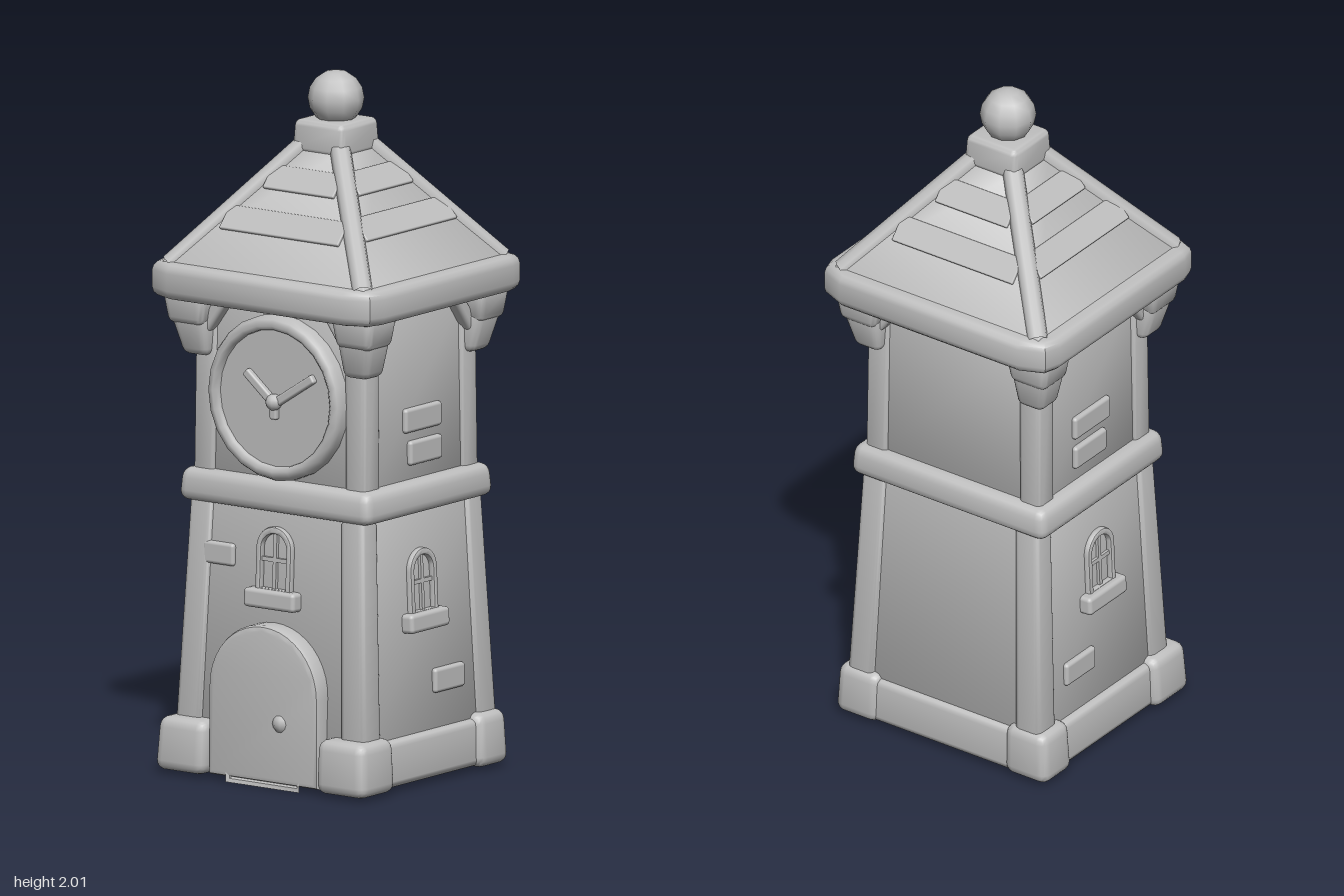
import * as THREE from 'three';
import { toCreasedNormals } from 'three/addons/utils/BufferGeometryUtils.js';
import { RoundedBoxGeometry } from 'three/addons/geometries/RoundedBoxGeometry.js';

const stone = new THREE.MeshStandardMaterial({ color: 0xbfbfbf });
stone.name = 'grey stone';

function add(parent, name, geometry, x = 0, y = 0, z = 0) {
  const mesh = new THREE.Mesh(geometry, stone);
  mesh.name = name;
  mesh.position.set(x, y, z);
  parent.add(mesh);
  return mesh;
}

// Rounded block lofted between two rectangles [centre x, centre z, width, depth]
function block(parent, name, y0, y1, lo, hi = lo, r = 0.015) {
  const h = y1 - y0;
  const g = new RoundedBoxGeometry(lo[2], h, lo[3], 2, r);
  const p = g.attributes.position;
  for (let i = 0; i < p.count; i++) {
    const t = p.getY(i) / h + 0.5;
    const at = (k) => THREE.MathUtils.lerp(lo[k], hi[k], t);
    p.setXYZ(i, at(0) + p.getX(i) * at(2) / lo[2], y0 + t * h, at(1) + p.getZ(i) * at(3) / lo[3]);
  }
  return add(parent, name, toCreasedNormals(g, 0.75));
}

// Round-topped outline standing on y0
function archPath(path, half, y0, top) {
  path.moveTo(-half, y0);
  path.lineTo(half, y0);
  path.lineTo(half, top - half);
  path.absarc(0, top - half, half, 0, Math.PI, false);
  path.lineTo(-half, y0);
  return path;
}

function extrude(shape, depth, bevel) {
  const g = new THREE.ExtrudeGeometry(shape, {
    depth: depth - bevel, bevelEnabled: bevel > 0, bevelThickness: bevel,
    bevelSize: bevel, bevelOffset: -bevel, bevelSegments: 2, curveSegments: 10,
  });
  return toCreasedNormals(g, 0.75);
}

// Bar between two points in a wall plane
function bar(parent, name, a, b, width, depth, z) {
  const dx = b[0] - a[0], dy = b[1] - a[1];
  const g = new RoundedBoxGeometry(Math.hypot(dx, dy), width, depth, 2, Math.min(width, depth) * 0.3);
  const m = add(parent, name, g, (a[0] + b[0]) / 2, (a[1] + b[1]) / 2, z);
  m.rotation.z = Math.atan2(dy, dx);
  return m;
}

// Arched window with sill, facing +z, sill bottom at local y = 0
function windowUnit(name) {
  const g = new THREE.Group();
  g.name = name;
  const frame = archPath(new THREE.Shape(), 0.062, 0.04, 0.235);
  frame.holes.push(archPath(new THREE.Path(), 0.044, 0.058, 0.215));
  add(g, 'windowFrame', extrude(frame, 0.022, 0.006), 0, 0, -0.006);
  add(g, 'windowMullion', new THREE.BoxGeometry(0.012, 0.16, 0.016), 0, 0.135, 0);
  add(g, 'windowCrossbar', new THREE.BoxGeometry(0.09, 0.012, 0.016), 0, 0.14, 0);
  add(g, 'windowSill', new RoundedBoxGeometry(0.18, 0.055, 0.05, 2, 0.012), 0, 0.028, 0.01);
  return g;
}

export function createModel() {
  const tower = new THREE.Group();
  tower.name = 'clockTower';

  // Foot course with heavier corner stones
  block(tower, 'footCourse', 0.005, 0.14, [0, -0.005, 0.7, 0.63], [0, -0.005, 0.69, 0.62], 0.02);
  for (const sx of [-1, 1]) {
    block(tower, 'frontFootStone', 0, 0.155, [sx * 0.285, 0.285, 0.175, 0.165], [sx * 0.28, 0.28, 0.165, 0.155], 0.03);
    block(tower, 'backFootStone', 0, 0.155, [sx * 0.295, -0.26, 0.15, 0.14], [sx * 0.29, -0.26, 0.14, 0.13], 0.03);
  }

  // Lower and upper walls with corner posts
  block(tower, 'lowerWalls', 0.1, 0.8, [0, 0, 0.65, 0.6], [0, 0, 0.59, 0.54], 0.005);
  block(tower, 'upperWalls', 0.82, 1.4, [0, 0, 0.59, 0.515], [0, 0, 0.575, 0.505], 0.005);
  for (const sx of [-1, 1]) for (const sz of [-1, 1]) {
    block(tower, 'lowerPost', 0.1, 0.8, [sx * 0.293, sz * 0.271, 0.09, 0.086], [sx * 0.265, sz * 0.243, 0.08, 0.076], 0.018);
    block(tower, 'upperPost', 0.82, 1.38, [sx * 0.268, sz * 0.23, 0.075, 0.075], [sx * 0.262, sz * 0.225, 0.075, 0.075], 0.015);
    // Flared corbels under the eaves
    block(tower, 'corbel', 1.19, 1.31, [sx * 0.283, sz * 0.247, 0.085, 0.085], [sx * 0.295, sz * 0.26, 0.125, 0.12], 0.02);
    block(tower, 'corbelCap', 1.28, 1.38, [sx * 0.297, sz * 0.262, 0.12, 0.115], [sx * 0.297, sz * 0.262, 0.15, 0.145], 0.02);
    bar(tower, 'frontBrace', [sx * 0.255, 1.27], [sx * 0.18, 1.375], 0.04, 0.05, sz * 0.265);
    const side = new THREE.Group();
    side.name = 'sideBrace';
    side.rotation.y = Math.PI / 2;
    bar(side, 'brace', [sz * 0.225, 1.26], [sz * 0.14, 1.375], 0.04, 0.05, sx * 0.3);
    tower.add(side);
  }
  block(tower, 'beltCourse', 0.77, 0.865, [0, 0, 0.68, 0.6], [0, 0, 0.665, 0.585], 0.03);

  // Doorway
  const surround = archPath(new THREE.Shape(), 0.193, 0.005, 0.455);
  surround.holes.push(archPath(new THREE.Path(), 0.115, 0.006, 0.365));
  add(tower, 'doorSurround', extrude(surround, 0.075, 0.015), 0, 0, 0.27);
  add(tower, 'door', extrude(archPath(new THREE.Shape(), 0.118, 0.005, 0.367), 0.04, 0), 0, 0, 0.275);
  for (const x of [-0.04, 0.035]) add(tower, 'doorBatten', new THREE.BoxGeometry(0.006, 0.32, 0.006), x, 0.175, 0.316);
  add(tower, 'doorKnob', new THREE.SphereGeometry(0.032, 10, 8), 0.06, 0.18, 0.325);

  // Windows
  const frontWindow = windowUnit('frontWindow');
  frontWindow.position.set(0, 0.495, 0.285);
  frontWindow.rotation.x = -0.045;
  tower.add(frontWindow);

  // Side windows and raised wall stones
  for (const s of [-1, 1]) {
    const wall = new THREE.Group();
    wall.name = s > 0 ? 'leftWallDetails' : 'rightWallDetails';
    wall.rotation.y = s * Math.PI / 2;
    const w = windowUnit('sideWindow');
    w.position.set(-s * 0.01, 0.43, 0.312);
    w.rotation.x = -0.045;
    wall.add(w);
    for (const [z, y, len, out] of [[-0.1, 0.275, 0.14, 0.318], [-0.01, 1.035, 0.17, 0.293], [-0.02, 0.94, 0.15, 0.295]])
      add(wall, 'wallStone', new RoundedBoxGeometry(len, 0.07, 0.026, 2, 0.01), -s * z, y, out);
    tower.add(wall);
  }
  add(tower, 'wallStone', new RoundedBoxGeometry(0.11, 0.065, 0.026, 2, 0.01), -0.2, 0.63, 0.276);

  // Clock: rim, sunken dial and hands
  const clock = new THREE.Group();
  clock.name = 'clock';
  clock.position.set(0, 1.1, 0.245);
  const rim = [[0.195, 0.02], [0.198, 0.046], [0.21, 0.056], [0.228, 0.05], [0.237, 0.035], [0.237, 0]]
    .reverse().map(([x, y]) => new THREE.Vector2(x, y));
  add(clock, 'clockRim', new THREE.LatheGeometry(rim, 24)).rotation.x = Math.PI / 2;
  add(clock, 'clockDial', new THREE.CylinderGeometry(0.205, 0.205, 0.035, 24), 0, 0, 0.0175).rotation.x = Math.PI / 2;
  bar(clock, 'longHand', [0, -0.015], [0.14, 0.075], 0.026, 0.022, 0.042);
  bar(clock, 'shortHand', [0, -0.015], [-0.1, 0.068], 0.026, 0.022, 0.042);
  bar(clock, 'handTail', [0, -0.06], [0, 0], 0.024, 0.022, 0.042);
  add(clock, 'clockPivot', new THREE.SphereGeometry(0.024, 10, 8), 0, -0.01, 0.045);
  tower.add(clock);

  // Eave slab with clipped corners
  const corner = [[0.4, 0.3], [0.385, 0.35], [0.31, 0.382]];
  const flip = (sx, sz) => corner.map(([x, z]) => new THREE.Vector2(sx * x, sz * z));
  const plan = new THREE.Shape([...flip(1, 1), ...flip(-1, 1).reverse(), ...flip(-1, -1), ...flip(1, -1).reverse()]);
  const slab = new THREE.ExtrudeGeometry(plan, {
    depth: 0.05, bevelThickness: 0.027, bevelSize: 0.027, bevelOffset: -0.027, bevelSegments: 3,
  });
  slab.rotateX(-Math.PI / 2);
  add(tower, 'eaves', toCreasedNormals(slab, 0.75), 0, 1.385, 0);

  // Hipped roof with rounded ridges
  const low = [0.365, 1.45, 0.35], high = [0.078, 1.79, 0.078];
  block(tower, 'roof', low[1], high[1], [0, 0, low[0] * 2, low[2] * 2], [0, 0, high[0] * 2, high[2] * 2], 0.004);
  for (const sx of [-1, 1]) for (const sz of [-1, 1]) {
    const a = new THREE.Vector3(sx * 0.34, 1.45, sz * 0.325), b = new THREE.Vector3(sx * 0.065, 1.785, sz * 0.065);
    add(tower, 'roofRidge', new THREE.TubeGeometry(new THREE.LineCurve3(a, b), 1, 0.03, 10));
  }

  // Raised shingle courses, each a thin plate lying on a roof slope
  for (let i = 0; i < 4; i++) {
    const face = new THREE.Group();
    face.name = 'shingles';
    face.rotation.y = i * Math.PI / 2;
    const reach = i % 2 ? low[0] : low[2];
    const tilt = Math.atan2(high[1] - low[1], reach - high[0]);
    for (const [edge, length] of [[0.27, 0.42], [0.18, 0.25]]) {
      const mid = edge - 0.03;
      const y = low[1] + (reach - mid) * Math.tan(tilt);
      const plate = add(face, 'shingleCourse', new RoundedBoxGeometry(length, 0.012, 0.08, 1, 0.004), 0, y + 0.002, mid);
      plate.rotation.x = tilt - 0.07;
    }
    tower.add(face);
  }

  // Cap and ball finial
  block(tower, 'roofCap', 1.765, 1.862, [0, 0, 0.184, 0.184], [0, 0, 0.172, 0.172], 0.018);
  add(tower, 'finialBall', new THREE.SphereGeometry(0.08, 10, 8), 0, 1.92, 0);

  return tower;
}
